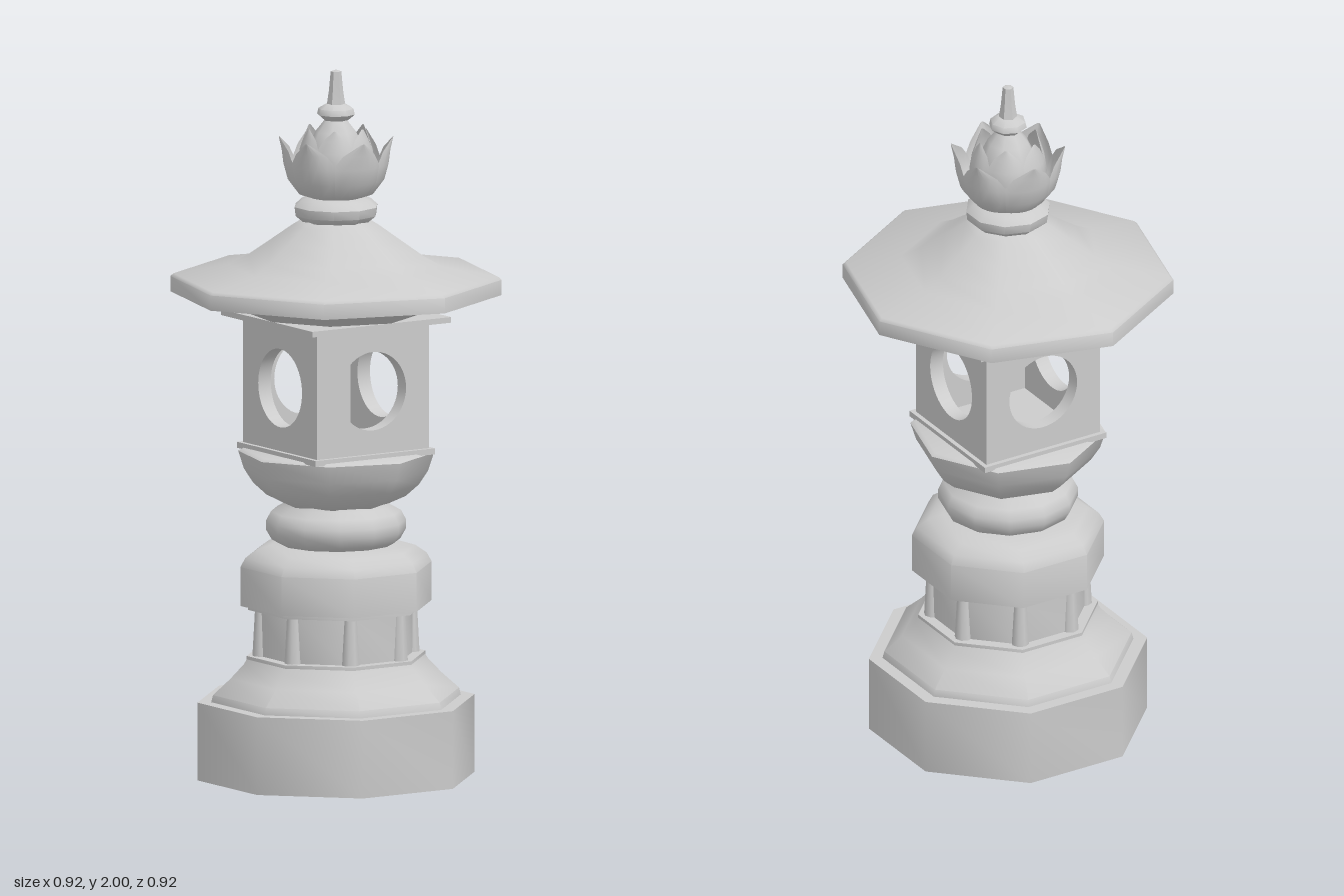
import * as THREE from 'three';
import { toCreasedNormals } from 'three/addons/utils/BufferGeometryUtils.js';

const material = new THREE.MeshStandardMaterial({ color: 0xcccccc });
const thinMaterial = new THREE.MeshStandardMaterial({ color: 0xcccccc, side: THREE.DoubleSide });
const FLAT = Math.PI / 8;          // octagon with flats facing the axes
const TURNED = Math.PI / 24;       // octagon turned by 7.5 degrees

function addMesh(parent, name, geometry, mat = material) {
  const mesh = new THREE.Mesh(geometry, mat);
  mesh.name = name;
  parent.add(mesh);
  return mesh;
}

// Solid of revolution with few sides; profile is [radius, y] from bottom to top
function addTurned(parent, name, profile, sides = 8, start = FLAT) {
  const points = profile.map(([r, y]) => new THREE.Vector2(r, y));
  const geometry = new THREE.LatheGeometry(points, sides, start);
  return addMesh(parent, name, toCreasedNormals(geometry, 0.85));
}

// Square slab given by its half width
function addSlab(parent, name, half, y0, y1) {
  const slab = addMesh(parent, name, new THREE.BoxGeometry(half * 2, y1 - y0, half * 2));
  slab.position.y = (y0 + y1) / 2;
}

// Cupped pointed petal, swept along [radius, y, half width] sections
function petalGeometry(sections) {
  const across = 6, positions = [], index = [];
  sections.forEach(([r, y, w], j) => {
    for (let i = 0; i <= across; i++) {
      const u = (i / across) * 2 - 1;
      positions.push(u * w, y, r - 0.4 * w * u * u);
      if (j && i) {
        const b = j * (across + 1) + i, a = b - across - 1;
        index.push(a - 1, a, b, a - 1, b, b - 1);
      }
    }
  });
  const geometry = new THREE.BufferGeometry();
  geometry.setAttribute('position', new THREE.Float32BufferAttribute(positions, 3));
  geometry.setIndex(index);
  geometry.computeVertexNormals();
  return geometry;
}

function addPetals(parent, name, count, start, sections) {
  const geometry = petalGeometry(sections);
  for (let i = 0; i < count; i++) {
    addMesh(parent, name, geometry, thinMaterial).rotation.y = start + (i / count) * Math.PI * 2;
  }
}

export function createModel() {
  const lantern = new THREE.Group();
  lantern.name = 'stoneLantern';

  // Foot and sloping step
  addTurned(lantern, 'base', [[0, 0], [0.394, 0], [0.394, 0.22], [0, 0.22]]);
  addTurned(lantern, 'baseSlope', [[0, 0.21], [0.355, 0.22], [0.35, 0.24], [0.3, 0.285], [0.262, 0.325], [0.25, 0.345], [0, 0.345]]);

  // Panelled frieze with corner posts
  addTurned(lantern, 'friezeLowerLip', [[0, 0.335], [0.254, 0.335], [0.254, 0.348], [0, 0.348]]);
  addTurned(lantern, 'friezeCore', [[0, 0.34], [0.222, 0.34], [0.222, 0.49], [0, 0.49]]);
  for (let i = 0; i < 8; i++) {
    const a = FLAT + (i * Math.PI) / 4;
    const post = addMesh(lantern, 'friezePost', new THREE.CylinderGeometry(0.018, 0.026, 0.145, 8));
    post.position.set(Math.sin(a) * 0.212, 0.415, Math.cos(a) * 0.212);
  }
  addTurned(lantern, 'friezeUpperLip', [[0, 0.478], [0.25, 0.478], [0.25, 0.495], [0, 0.495]]);

  // Drum, cushion ring and bowl
  addTurned(lantern, 'drum', [[0, 0.49], [0.272, 0.49], [0.272, 0.6], [0.258, 0.625], [0.225, 0.648], [0.185, 0.66], [0, 0.66]]);
  addTurned(lantern, 'cushionRing', [[0, 0.65], [0.15, 0.655], [0.18, 0.672], [0.196, 0.7], [0.196, 0.725],
    [0.182, 0.752], [0.152, 0.768], [0.14, 0.79], [0, 0.79]], 12, 0);
  addTurned(lantern, 'bowl', [[0, 0.77], [0.15, 0.775], [0.195, 0.795], [0.232, 0.828], [0.258, 0.868], [0.274, 0.918], [0.262, 0.925], [0, 0.925]], 8, TURNED);

  // Square light chamber with a round window in each wall
  addSlab(lantern, 'chamberFloor', 0.2, 0.92, 0.937);
  const chamber = new THREE.Group();
  chamber.name = 'lightChamber';
  for (let i = 0; i < 4; i++) {
    const half = i % 2 ? 0.145 : 0.187;
    const shape = new THREE.Shape([[-half, 0.93], [half, 0.93], [half, 1.3], [-half, 1.3]].map(([x, y]) => new THREE.Vector2(x, y)));
    shape.holes.push(new THREE.Path().absarc(0, 1.115, 0.111, 0, Math.PI * 2, true));
    const geometry = new THREE.ExtrudeGeometry(shape, { depth: 0.042, bevelEnabled: false, curveSegments: 24 });
    geometry.translate(0, 0, 0.145);
    addMesh(chamber, 'windowWall', toCreasedNormals(geometry, 0.6)).rotation.y = (i * Math.PI) / 2;
  }
  lantern.add(chamber);
  addSlab(lantern, 'chamberLip', 0.232, 1.294, 1.31);

  // Flared roof
  addTurned(lantern, 'roof', [[0, 1.305], [0.235, 1.31], [0.375, 1.365], [0.464, 1.367], [0.464, 1.41], [0.455, 1.418],
    [0.3, 1.445], [0.245, 1.475], [0.18, 1.52], [0.12, 1.562], [0.09, 1.58], [0, 1.58]], 8, TURNED);

  // Finial: ring, lotus petals, bud and spire
  const finial = new THREE.Group();
  finial.name = 'finial';
  addTurned(finial, 'finialRing', [[0, 1.57], [0.095, 1.572], [0.117, 1.59], [0.12, 1.615], [0.1, 1.633], [0.07, 1.645], [0, 1.645]], 10, 0);
  addPetals(finial, 'outerPetal', 6, -0.08, [[0.06, 1.635, 0.03], [0.105, 1.65, 0.058], [0.135, 1.69, 0.08],
    [0.147, 1.735, 0.078], [0.152, 1.775, 0.05], [0.16, 1.81, 0.004]]);
  addPetals(finial, 'innerPetal', 6, 0.44, [[0.05, 1.64, 0.03], [0.095, 1.68, 0.055], [0.112, 1.73, 0.066],
    [0.106, 1.775, 0.055], [0.096, 1.81, 0.034], [0.088, 1.838, 0.004]]);
  addTurned(finial, 'bud', [[0, 1.64], [0.06, 1.65], [0.085, 1.72], [0.08, 1.78], [0.058, 1.825], [0.038, 1.85], [0.03, 1.862], [0, 1.862]], 8, 0);
  addTurned(finial, 'spireCollar', [[0, 1.855], [0.035, 1.858], [0.054, 1.874], [0.05, 1.89], [0.028, 1.903], [0, 1.905]], 8, 0);
  addTurned(finial, 'spire', [[0, 1.89], [0.026, 1.9], [0.02, 1.94], [0.015, 1.995], [0, 2]], 6, 0);
  lantern.add(finial);

  return lantern;
}
